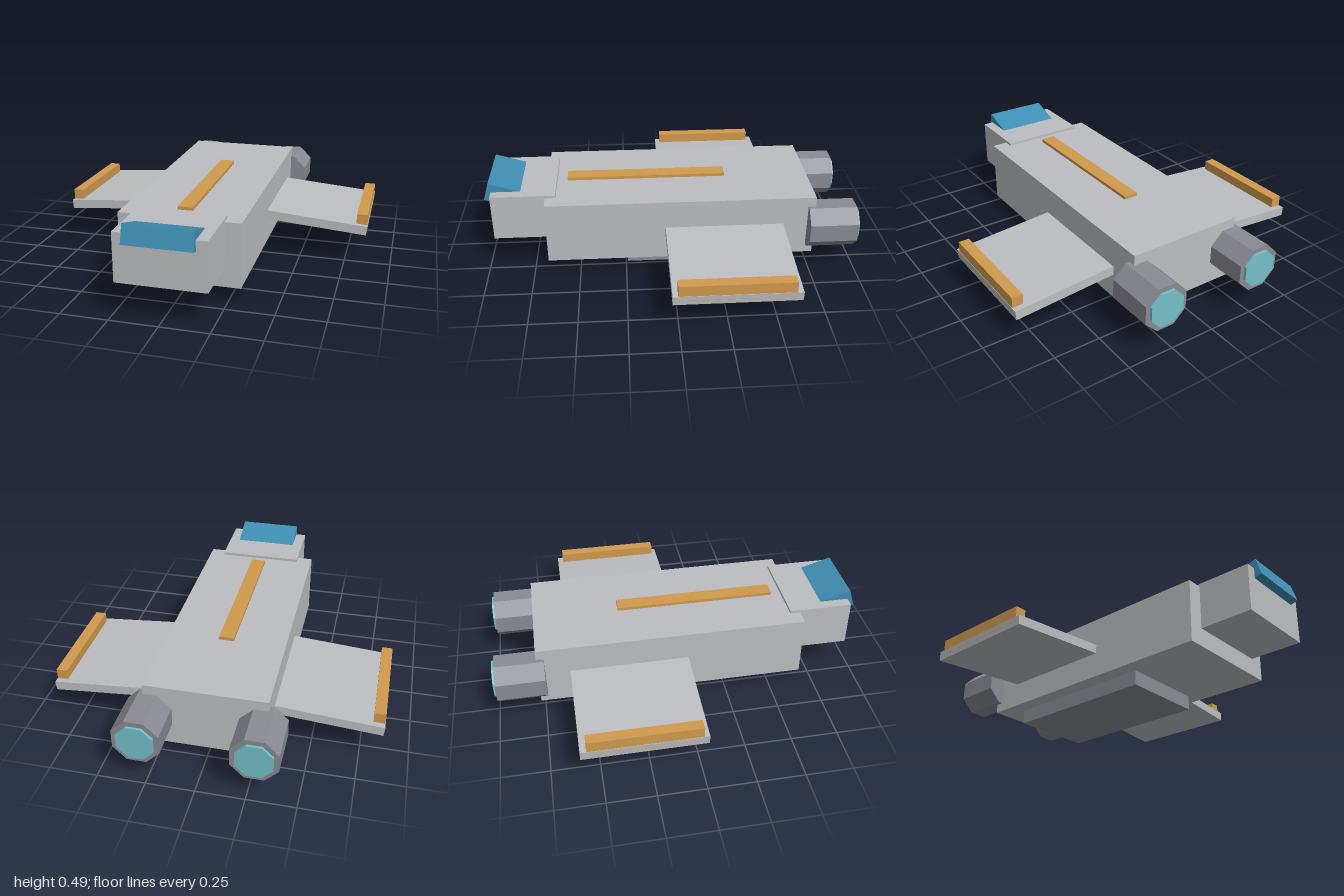
import * as THREE from 'three';

function mat(name, color) {
  const m = new THREE.MeshStandardMaterial({ color });
  m.name = name;
  return m;
}

export function createModel() {
  const hull = mat('hull grey', 0xbcbec1);
  const metal = mat('dark metal', 0x8a8b94);
  const trim = mat('amber trim', 0xd19a4f);
  const glass = mat('canopy blue', 0x3f8fb3);
  const glow = mat('engine glow', 0x74c0c8);

  const ship = new THREE.Group();
  ship.name = 'spaceship';

  function add(name, geometry, material) {
    const mesh = new THREE.Mesh(geometry, material);
    mesh.name = name;
    ship.add(mesh);
    return mesh;
  }

  // Box given by its extents along each axis
  function box(name, material, [x0, x1], [y0, y1], [z0, z1]) {
    const mesh = add(name, new THREE.BoxGeometry(x1 - x0, y1 - y0, z1 - z0), material);
    mesh.position.set((x0 + x1) / 2, (y0 + y1) / 2, (z0 + z1) / 2);
    return mesh;
  }

  // Eight-sided drum along z with flats facing up and sideways
  function drum(name, material, radius, x, z0, z1) {
    const geo = new THREE.CylinderGeometry(radius, radius, z1 - z0, 8).toNonIndexed();
    geo.rotateY(Math.PI / 8).rotateX(Math.PI / 2);
    geo.computeVertexNormals();
    add(name, geo, material).position.set(x, 0.249, (z0 + z1) / 2);
  }

  // Fuselage, nose, belly and spine stripe
  box('fuselage', hull, [-0.315, 0.315], [0.08, 0.42], [-0.77, 0.67]);
  box('nose', hull, [-0.23, 0.23], [0.18, 0.435], [0.615, 0.96]);
  box('bellyPod', metal, [-0.23, 0.23], [0, 0.1], [-0.622, 0.242]);
  box('spineStripe', trim, [-0.04, 0.04], [0.41, 0.437], [-0.308, 0.558]);

  // Canopy block tilted up at the front
  const canopy = add('canopy', new THREE.BoxGeometry(0.346, 0.1, 0.25), glass);
  canopy.position.set(0, 0.402, 0.866);
  canopy.rotation.x = -0.3;

  for (const side of [-1, 1]) {
    const label = side > 0 ? 'left' : 'right';

    // Wing drooping toward its tip
    const wing = add(label + 'Wing', new THREE.BoxGeometry(0.62, 0.05, 0.635), hull);
    wing.position.set(side * 0.554, 0.2215, -0.2825);
    wing.rotation.z = -side * 0.08;

    // Rail along the wing tip
    const rail = [0.805, 0.863].map((x) => x * side).sort((a, b) => a - b);
    box(label + 'WingRail', trim, rail, [0.195, 0.28], [-0.568, 0.008]);

    // Engine and its glowing exhaust
    drum(label + 'Engine', metal, 0.1275, side * 0.288, -0.987, -0.73);
    drum(label + 'Exhaust', glow, 0.1, side * 0.288, -1, -0.97);
  }

  return ship;
}
